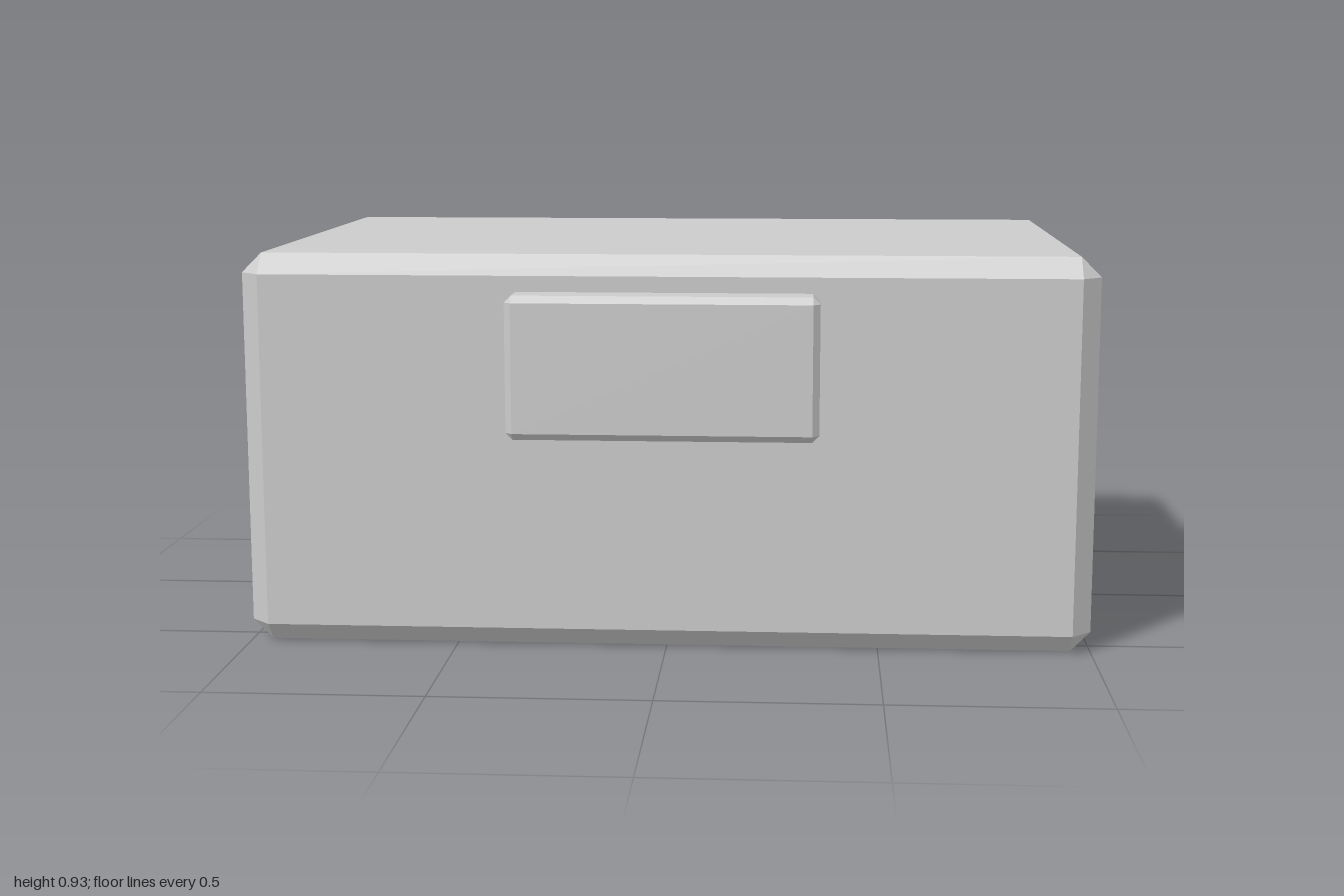
import * as THREE from 'three';
import { ConvexGeometry } from 'three/addons/geometries/ConvexGeometry.js';

// Box with every edge bevelled by c and every corner cut to a triangle
function bevelledBox(name, width, height, depth, c, material) {
  const half = [width / 2, height / 2, depth / 2];
  const points = [];
  for (const sx of [-1, 1]) for (const sy of [-1, 1]) for (const sz of [-1, 1]) {
    const sign = [sx, sy, sz];
    // One point per face meeting at this corner
    for (let face = 0; face < 3; face++) {
      const p = half.map((h, axis) => sign[axis] * (axis === face ? h : h - c));
      points.push(new THREE.Vector3(...p));
    }
  }
  const mesh = new THREE.Mesh(new ConvexGeometry(points), material);
  mesh.name = name;
  return mesh;
}

export function createModel() {
  const group = new THREE.Group();
  group.name = 'box';
  const material = new THREE.MeshStandardMaterial({ color: 0xcccccc, flatShading: true });

  // Main block
  const body = bevelledBox('body', 2, 0.932, 1.286, 0.047, material);
  body.position.set(0, 0.466, -0.048);

  // Raised plate on the front, set partly into the block
  const plate = bevelledBox('frontPlate', 0.72, 0.333, 0.15, 0.016, material);
  plate.position.set(-0.003, 0.6815, 0.616);

  group.add(body, plate);
  return group;
}
